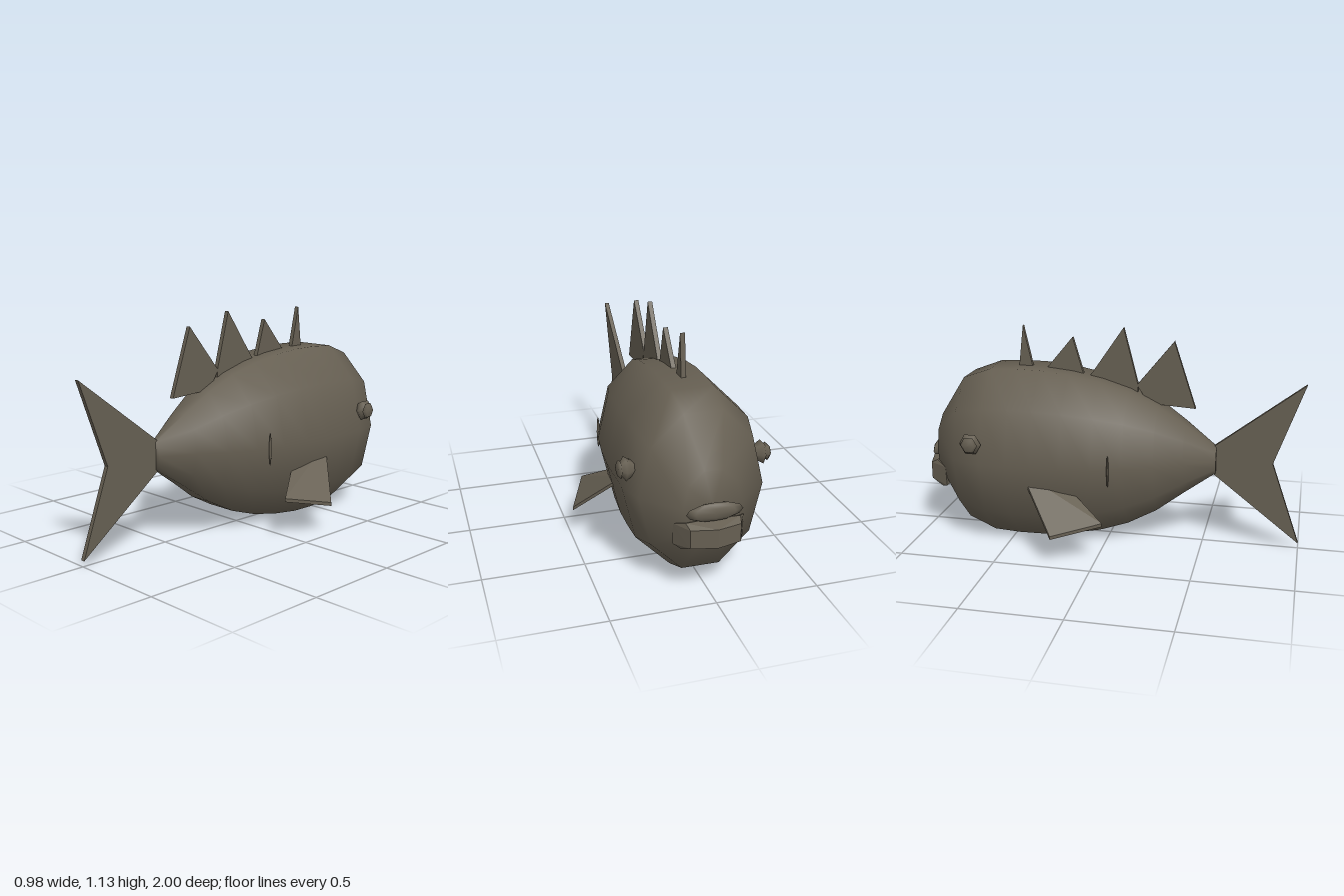
import * as THREE from 'three';
import { ConvexGeometry } from 'three/addons/geometries/ConvexGeometry.js';

const skin = new THREE.MeshStandardMaterial({ color: 0x665f52 });
skin.name = 'brownGreySkin';

function add(parent, name, geometry) {
  const mesh = new THREE.Mesh(geometry, skin);
  mesh.name = name;
  parent.add(mesh);
  return mesh;
}

// Body: ten-sided rings running from tail root to snout, closed at both ends
function bodyGeometry() {
  // z, top y, bottom y, half width
  const sections = [
    [0.56, 0.53, 0.39, 0.04], [0.4, 0.65, 0.28, 0.135], [0.26, 0.745, 0.178, 0.212],
    [0.11, 0.82, 0.1, 0.272], [-0.04, 0.866, 0.052, 0.313], [-0.2, 0.897, 0.022, 0.335],
    [-0.35, 0.912, 0.005, 0.345], [-0.48, 0.914, 0.003, 0.345], [-0.62, 0.908, 0.01, 0.341],
    [-0.77, 0.852, 0.068, 0.3], [-0.92, 0.63, 0.285, 0.14],
  ];
  const sides = 10, pos = [], index = [];
  for (const [z, top, bottom, rx] of sections) {
    const ry = (top - bottom) / 2 / Math.sin(Math.PI * 0.4);
    for (let j = 0; j < sides; j++) {
      const a = (j / sides) * Math.PI * 2;
      pos.push(rx * Math.cos(a), (top + bottom) / 2 + ry * Math.sin(a), z);
    }
  }
  const last = sections.length - 1, tail = sections.length * sides, head = tail + 1;
  pos.push(0, 0.46, 0.56, 0, 0.457, -0.925);
  for (let j = 0; j < sides; j++) {
    const k = (j + 1) % sides;
    for (let i = 0; i < last; i++) {
      const p = i * sides + j, q = i * sides + k;
      index.push(p, p + sides, q, q, p + sides, q + sides);
    }
    index.push(tail, j, k, head, last * sides + k, last * sides + j);
  }
  const g = new THREE.BufferGeometry();
  g.setAttribute('position', new THREE.Float32BufferAttribute(pos, 3));
  g.setIndex(index);
  g.computeVertexNormals();
  return g;
}

// Flat upright fin from a [z, y] outline, centred on x = 0
function plateGeometry(outline, thickness = 0.024) {
  const shape = new THREE.Shape(outline.map(([z, y]) => new THREE.Vector2(-z, y)));
  const g = new THREE.ExtrudeGeometry(shape, { depth: thickness, bevelEnabled: false });
  return g.translate(0, 0, -thickness / 2).rotateY(Math.PI / 2);
}

// Side fin: a thin slanted blade whose root is buried in the body
function sideFinGeometry(s) {
  const corners = [[0.27, 0.4, -0.41], [0.49, 0.157, -0.205], [0.39, 0.207, 0.037], [0.24, 0.345, -0.19]];
  const points = [];
  for (const [x, y, z] of corners) {
    for (const d of [-0.009, 0.009]) points.push(new THREE.Vector3(s * x, y + d, z));
  }
  return new ConvexGeometry(points);
}

// Eye: six-sided ball with a smaller raised pupil, turned about the x axis
function eyeGeometry(s) {
  const profile = [[0.03, 0.29], [0.045, 0.315], [0.058, 0.336], [0.034, 0.352], [0.045, 0.357], [0.032, 0.371], [0, 0.373]];
  const g = new THREE.LatheGeometry(profile.map(([r, h]) => new THREE.Vector2(r, h)), 6);
  return g.rotateZ(-s * Math.PI / 2).translate(0, 0.567, -0.66);
}

// Lower lip: faceted wedge, mirrored about x = 0
function lowerLipGeometry() {
  const half = [
    [0.17, 0.37, -0.87], [0.17, 0.265, -0.865], [0.13, 0.395, -0.93], [0.14, 0.25, -0.9],
    [0.12, 0.375, -0.968], [0.12, 0.285, -0.968], [0, 0.378, -1], [0, 0.285, -1],
    [0, 0.4, -0.93], [0, 0.245, -0.9],
  ];
  const points = [];
  for (const [x, y, z] of half) {
    points.push(new THREE.Vector3(x, y, z));
    if (x > 0) points.push(new THREE.Vector3(-x, y, z));
  }
  return new ConvexGeometry(points);
}

export function createModel() {
  const fish = new THREE.Group();
  fish.name = 'fish';

  add(fish, 'body', bodyGeometry());
  add(fish, 'tailFin', plateGeometry([[0.54, 0.53], [1, 0.885], [0.85, 0.46], [1, 0.033], [0.54, 0.39]]));

  // Row of spiky back fins
  const spikes = [
    [[0.445, 0.73], [0.33, 1.075], [0.14, 0.84], [0.2, 0.745]],
    [[0.145, 0.8], [0.145, 0.842], [0.068, 1.135], [-0.105, 0.88], [-0.1, 0.8]],
    [[-0.13, 0.84], [-0.2, 1.075], [-0.34, 0.905], [-0.34, 0.84]],
    [[-0.405, 0.86], [-0.465, 1.125], [-0.495, 0.86]],
  ];
  spikes.forEach((outline, i) => add(fish, 'backFin' + (i + 1), plateGeometry(outline)));

  // Paired parts
  for (const [s, side] of [[1, 'left'], [-1, 'right']]) {
    add(fish, side + 'SideFin', sideFinGeometry(s));
    add(fish, side + 'Eye', eyeGeometry(s));
    const gill = add(fish, side + 'Gill', new THREE.SphereGeometry(1, 6, 6));
    gill.scale.set(0.008, 0.085, 0.006);
    gill.position.set(s * 0.292, 0.455, 0.045);
  }

  // Mouth
  const upperLip = add(fish, 'upperLip', new THREE.SphereGeometry(1, 8, 6));
  upperLip.scale.set(0.135, 0.045, 0.022);
  upperLip.position.set(0, 0.442, -0.947);
  add(fish, 'lowerLip', lowerLipGeometry());

  return fish;
}
